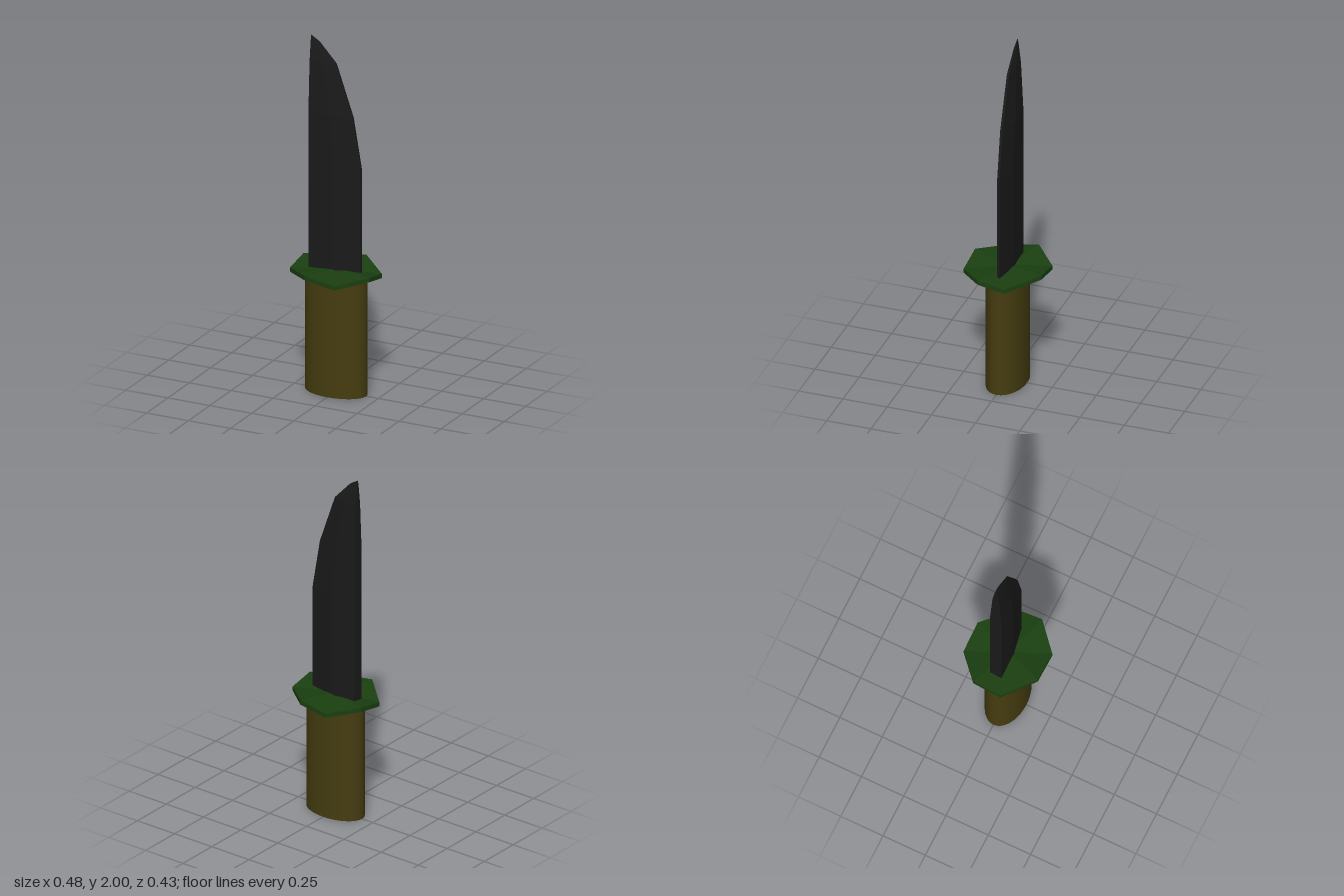
import * as THREE from 'three';

const paint = (color) => new THREE.MeshStandardMaterial({ color, flatShading: false });

// Skins a stack of equal-length rings, closing both ends with a fan around the ring centre.
function loft(rings) {
  const pos = [];
  const tri = (...pts) => pts.forEach((p) => pos.push(...p));
  const centre = (ring) => [0, 1, 2].map((k) => ring.reduce((s, p) => s + p[k], 0) / ring.length);
  const n = rings[0].length;
  for (let r = 0; r < rings.length - 1; r++) {
    for (let i = 0; i < n; i++) {
      const j = (i + 1) % n;
      const [a, b, c, d] = [rings[r][i], rings[r][j], rings[r + 1][j], rings[r + 1][i]];
      tri(a, b, c);
      tri(a, c, d);
    }
  }
  const first = rings[0], last = rings[rings.length - 1];
  for (let i = 0; i < n; i++) {
    const j = (i + 1) % n;
    tri(first[j], first[i], centre(first));
    tri(last[i], last[j], centre(last));
  }
  const geometry = new THREE.BufferGeometry();
  geometry.setAttribute('position', new THREE.Float32BufferAttribute(pos, 3));
  geometry.computeVertexNormals();
  return geometry;
}

export function createModel() {
  const model = new THREE.Group();
  const add = (name, geometry, color) => {
    const mesh = new THREE.Mesh(geometry, paint(color));
    mesh.name = name;
    model.add(mesh);
    return mesh;
  };

  // Oval grip
  const grip = new THREE.CylinderGeometry(1, 1, 0.675, 48);
  grip.scale(0.178, 1, 0.108).translate(0, 0.3375, 0);
  add('grip', grip, 0x453c10);

  // Thin octagonal guard whose corners alternate high and low (counter-clockwise from above)
  const corners = [
    [-0.08, 0.215], [0.095, 0.215], [0.238, 0.085], [0.238, -0.065],
    [0.07, -0.215], [-0.098, -0.215], [-0.24, -0.088], [-0.24, 0.07],
  ];
  const guardRing = (y) => corners.map(([x, z], i) => [x, y + (i % 2 ? 0 : 0.028), z]);
  add('guard', loft([guardRing(0.66), guardRing(0.685)]), 0x1a3f10);

  // Blade sections: height, cutting edge x, half thickness at the spine and at the edge
  const sections = [
    [0.67, 0.148, 0.033, 0.007],
    [1.29, 0.148, 0.033, 0.007],
    [1.57, 0.1, 0.033, 0.007],
    [1.86, 0, 0.019, 0.006],
    [1.97, -0.1, 0.006, 0.003],
    [2.0, -0.148, 0.001, 0.001],
  ];
  const spine = -0.15;
  const blade = loft(sections.map(([y, edge, t, e]) => {
    const ridge = Math.min(0, (spine + edge) / 2 + 0.001);
    return [
      [spine, y, t], [ridge, y, t], [edge, y, e],
      [edge, y, -e], [ridge, y, -t], [spine, y, -t],
    ];
  }));
  add('blade', blade, 0x1a1a1a);

  return model;
}
